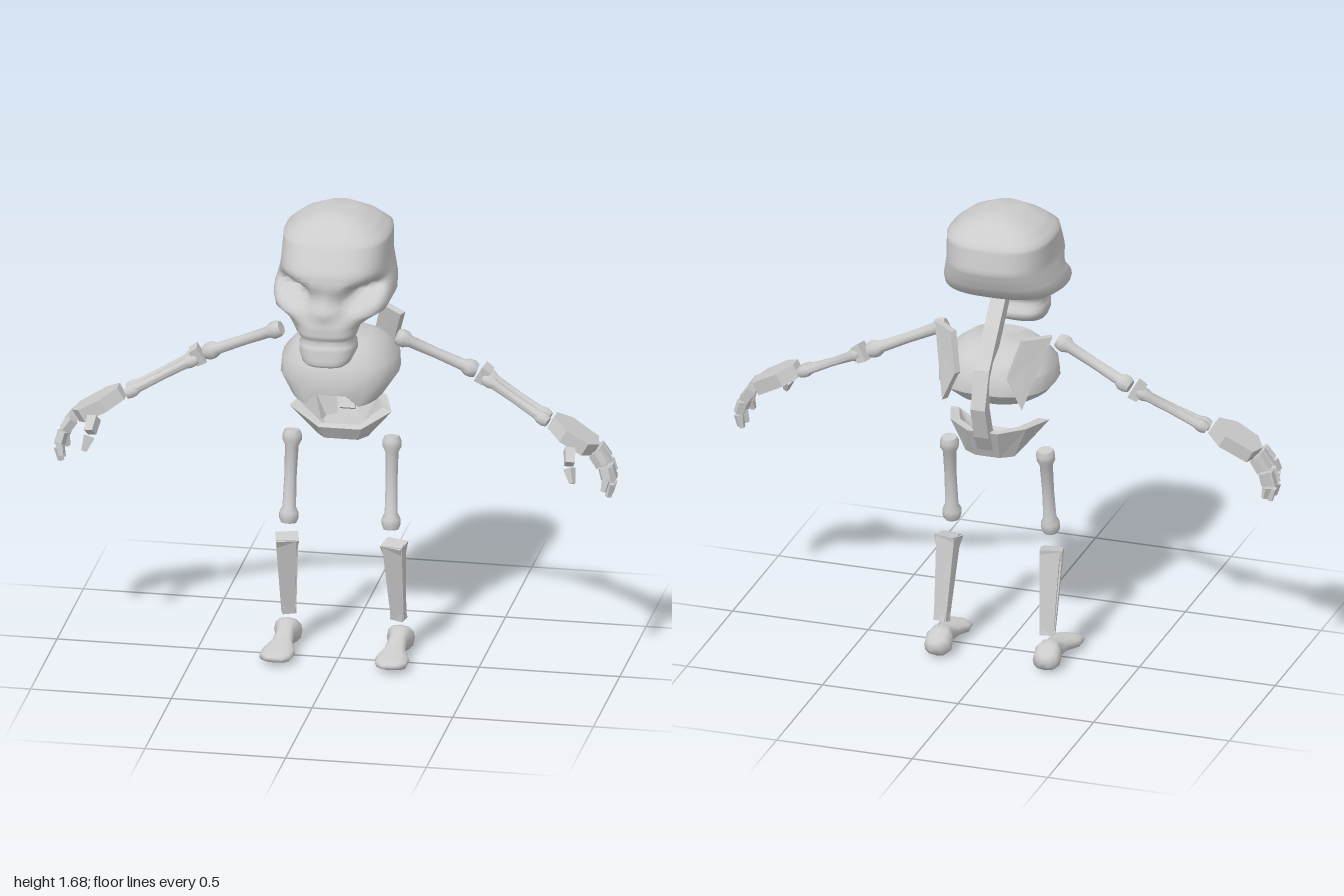
import * as THREE from 'three';
import { toCreasedNormals } from 'three/addons/utils/BufferGeometryUtils.js';

const smooth = new THREE.MeshStandardMaterial({ color: 0xcccccc });
const faceted = new THREE.MeshStandardMaterial({ color: 0xcccccc, flatShading: true });
const V = (x, y, z) => new THREE.Vector3(x, y, z);
const sgnPow = (v, p) => Math.sign(v) * Math.abs(v) ** p;

function named(name, geo, mat = smooth) {
  const m = new THREE.Mesh(geo, mat);
  m.name = name;
  return m;
}

// Closed skin over equal-length rings, capped at both ends
function loft(rings) {
  const n = rings[0].length, pos = [], idx = [];
  rings.flat().forEach(p => pos.push(p.x, p.y, p.z));
  for (let i = 0; i < rings.length - 1; i++) {
    for (let j = 0; j < n; j++) {
      const a = i * n + j, b = i * n + (j + 1) % n;
      idx.push(a, b, b + n, a, b + n, a + n);
    }
  }
  [0, rings.length - 1].forEach((r, end) => {
    const c = V(0, 0, 0);
    rings[r].forEach(p => c.addScaledVector(p, 1 / n));
    const ci = pos.length / 3;
    pos.push(c.x, c.y, c.z);
    for (let j = 0; j < n; j++) {
      const a = r * n + j, b = r * n + (j + 1) % n;
      if (end) idx.push(ci, a, b); else idx.push(ci, b, a);
    }
  });
  const g = new THREE.BufferGeometry();
  g.setAttribute('position', new THREE.Float32BufferAttribute(pos, 3));
  g.setIndex(idx);
  g.computeVertexNormals();
  return g;
}

// Horizontal rounded-square ring: height, half width, front z, back z
function ringY([y, w, f, b], n, p) {
  return Array.from({ length: n }, (_, j) => {
    const a = j / n * Math.PI * 2;
    return V(w * sgnPow(Math.sin(a), p), y, (f + b) / 2 + (f - b) / 2 * sgnPow(Math.cos(a), p));
  });
}

function place(mesh, a, b) {
  mesh.position.copy(a).add(b).multiplyScalar(0.5);
  mesh.quaternion.setFromUnitVectors(V(0, 1, 0), b.clone().sub(a).normalize());
  return mesh;
}

// Long bone with knobs at both ends
function bone(name, a, b, r, knob) {
  const L = a.distanceTo(b);
  const pts = [[0, 0], [knob * 0.8, 0], [knob, 0.05], [knob, 0.11], [r, 0.17], [r * 0.9, 0.5],
    [r, 0.83], [knob, 0.89], [knob, 0.95], [knob * 0.8, 1], [0, 1]]
    .map(([x, t]) => new THREE.Vector2(x, (t - 0.5) * L));
  return place(named(name, toCreasedNormals(new THREE.LatheGeometry(pts, 10), 0.9)), a, b);
}

// Four-sided tapered bar: half sizes (x, z) at a and b
function bar(name, a, b, [x0, z0], [x1, z1]) {
  const L = a.distanceTo(b) / 2;
  const ring = (x, y, z) => [V(-x, y, z), V(x, y, z), V(x, y, -z), V(-x, y, -z)];
  return place(named(name, loft([ring(x0, -L, z0), ring(x1, L, z1)]), faceted), a, b);
}

function skull() {
  const rows = [[1.19, 0.07, 0.285, 0.16], [1.2, 0.085, 0.29, 0.13], [1.23, 0.1, 0.285, 0.085],
    [1.26, 0.1, 0.28, 0.1], [1.275, 0.092, 0.262, 0.11], [1.29, 0.1, 0.28, 0.11],
    [1.33, 0.115, 0.278, 0.07], [1.35, 0.145, 0.27, 0.03], [1.375, 0.195, 0.26, -0.03],
    [1.405, 0.212, 0.255, -0.15], [1.44, 0.21, 0.255, -0.18], [1.48, 0.2, 0.258, -0.2],
    [1.52, 0.19, 0.25, -0.215], [1.61, 0.187, 0.19, -0.2], [1.65, 0.14, 0.14, -0.15], [1.685, 0.06, 0.085, -0.09]];
  const rings = [];
  rows.forEach((r, i) => {
    const next = rows[i + 1];
    const steps = next ? Math.ceil((next[0] - r[0]) / 0.018) : 1;
    for (let k = 0; k < steps; k++) {
      rings.push(ringY(r.map((v, c) => next ? v + (next[c] - v) * k / steps : v), 40, 0.74));
    }
  });
  rings.flat().forEach(p => {
    if (p.z < 0.06) return;
    // slanted eye sockets and a small nose
    const ax = Math.abs(p.x), ey = p.y - 1.442 - 0.25 * (ax - 0.12);
    const e = Math.exp(-(((ax - 0.13) / 0.06) ** 4) - (ey / 0.032) ** 2);
    const nose = Math.exp(-((p.x / 0.03) ** 2) - ((p.y - 1.385) / 0.03) ** 2);
    p.z += 0.03 * nose - 0.1 * e;
    p.x *= 1 - 0.12 * e;
  });
  return named('skull', loft(rings));
}

function ribcage() {
  const rows = [[1.05, 0.12, 0.09, -0.19], [0.97, 0.13, 0.125, -0.2], [0.99, 0.165, 0.15, -0.22],
    [1.07, 0.207, 0.152, -0.245], [1.13, 0.203, 0.135, -0.24], [1.18, 0.16, 0.1, -0.2], [1.21, 0.115, 0.07, -0.14]];
  const rings = rows.map(r => ringY(r, 24, 0.8));
  // raised back edge and the arch under the breastbone
  rings.slice(1, 3).flat().forEach(p => {
    p.y += 0.06 * (0.15 - p.z) / 0.4;
    if (p.z > 0 && Math.abs(p.x) < 0.075) p.y = 1.03 + (p.z > 0.14 ? 0.005 : 0);
  });
  return named('ribcage', toCreasedNormals(loft(rings), 0.7));
}

function pelvis() {
  const sym = half => [...half.map(p => V(...p)), ...half.slice().reverse().map(([x, y, z]) => V(-x, y, z))];
  // each half ring runs front to back on the +x side
  const base = sym([[0.06, 0.8, -0.05], [0.09, 0.805, -0.08], [0.09, 0.81, -0.15], [0.045, 0.81, -0.18]]);
  const rim = sym([[0.075, 0.85, -0.02], [0.182, 0.918, -0.04], [0.14, 0.93, -0.17], [0.055, 0.925, -0.235]]);
  const inner = sym([[0.065, 0.862, -0.035], [0.145, 0.925, -0.055], [0.11, 0.93, -0.155], [0.045, 0.925, -0.21]]);
  const bowl = sym([[0.05, 0.85, -0.06], [0.075, 0.85, -0.08], [0.07, 0.85, -0.14], [0.035, 0.85, -0.17]]);
  return named('pelvis', loft([base, rim, inner, bowl]), faceted);
}

function spine() {
  const path = [[0.86, -0.185], [0.92, -0.225], [1.03, -0.263], [1.15, -0.22], [1.27, -0.115], [1.4, 0]];
  const rings = path.map(([y, z], i) => {
    const [y0, z0] = path[Math.max(i - 1, 0)], [y1, z1] = path[Math.min(i + 1, path.length - 1)];
    const l = Math.hypot(y1 - y0, z1 - z0), dy = -0.025 * (z1 - z0) / l, dz = 0.025 * (y1 - y0) / l;
    return [[-1, 1], [1, 1], [1, -1], [-1, -1]].map(([sx, s]) => V(sx * 0.027, y + s * dy, z + s * dz));
  });
  return named('spine', loft(rings), faceted);
}

function shoulderBlade() {
  const inner = [V(0.205, 1.265, -0.085), V(0.135, 1.03, -0.215), V(0.085, 1.14, -0.225), V(0.12, 1.27, -0.165)];
  const outer = inner.map(p => p.clone().add(V(0.012, 0.002, -0.025)));
  return named('shoulderBlade', loft([inner, outer]), faceted);
}

function hand() {
  const g = new THREE.Group();
  g.name = 'hand';
  // palm slab tilted along the arm
  const outline = [[0, 0], [0, 0.05], [0.06, 0.1], [0.15, 0.1], [0.185, 0.05], [0.17, -0.015], [0.06, -0.035]];
  const layer = h => outline.map(([u, v]) => V(0.765 + 0.86 * u + 0.5 * h, 0.952 - 0.5 * u + 0.86 * h, v));
  g.add(named('palm', loft([layer(-0.025), layer(0.025)]), faceted));
  // four curled fingers of three segments
  for (let i = 0; i < 4; i++) {
    const z0 = -0.005 + i * 0.032, z1 = -0.018 + i * 0.045, s = [0.85, 1, 0.98, 0.78][i];
    const pts = [[0.925, 0.865], [0.967, 0.805], [0.984, 0.745], [0.972, 0.69]]
      .map(([x, y], k) => V(0.925 + (x - 0.925) * s, 0.865 + (y - 0.865) * s, z0 + (z1 - z0) * k / 3));
    for (let k = 0; k < 3; k++) {
      const w = 0.016 - 0.002 * k, tip = k === 2 ? 0.008 : w;
      g.add(bar('fingerSegment', pts[k].clone().lerp(pts[k + 1], 0.06),
        pts[k].clone().lerp(pts[k + 1], 0.92), [w, w], [tip, tip]));
    }
  }
  // thumb
  g.add(bar('thumbSegment', V(0.845, 0.885, 0.125), V(0.852, 0.845, 0.165), [0.018, 0.02], [0.016, 0.018]));
  g.add(bar('thumbTip', V(0.853, 0.832, 0.172), V(0.868, 0.785, 0.195), [0.016, 0.016], [0.008, 0.008]));
  return g;
}

function foot() {
  // slices from heel to toe: z, centre x, half width, low y, high y
  const rows = [[-0.163, 0.2, 0.022, 0.02, 0.06], [-0.145, 0.2, 0.045, 0.006, 0.075], [-0.115, 0.2, 0.05, 0, 0.095],
    [-0.085, 0.2, 0.042, 0.005, 0.1], [-0.06, 0.2, 0.032, 0.015, 0.085], [0, 0.2, 0.038, 0.018, 0.062],
    [0.06, 0.203, 0.06, 0.008, 0.052], [0.105, 0.206, 0.056, 0.008, 0.045], [0.128, 0.206, 0.03, 0.016, 0.036]];
  return named('foot', loft(rows.map(([z, cx, w, lo, hi]) => Array.from({ length: 12 }, (_, j) => {
    const a = j / 12 * Math.PI * 2;
    return V(cx + w * sgnPow(Math.cos(a), 0.8), (lo + hi) / 2 + (hi - lo) / 2 * sgnPow(Math.sin(a), 0.8), z);
  }))));
}

// Everything that exists once per side
function limbs(name) {
  const g = new THREE.Group();
  g.name = name;
  g.add(shoulderBlade());
  g.add(bone('upperArm', V(0.205, 1.215, -0.012), V(0.482, 1.09, -0.048), 0.021, 0.031));
  // paired forearm bones joined at the elbow end
  g.add(bar('elbow', V(0.495, 1.088, -0.05), V(0.525, 1.07, -0.047), [0.033, 0.026], [0.03, 0.024]));
  g.add(bone('forearmUpper', V(0.51, 1.082, -0.058), V(0.75, 0.95, -0.005), 0.017, 0.023));
  g.add(bone('forearmLower', V(0.51, 1.07, -0.036), V(0.75, 0.945, 0.032), 0.017, 0.023));
  g.add(hand());
  g.add(bone('thigh', V(0.177, 0.815, -0.073), V(0.182, 0.485, -0.025), 0.024, 0.034));
  // paired shin bones with a gap between
  g.add(bar('shinFront', V(0.19, 0.425, -0.022), V(0.195, 0.125, -0.092), [0.036, 0.013], [0.024, 0.008]));
  g.add(bar('shinBack', V(0.19, 0.425, -0.06), V(0.195, 0.125, -0.11), [0.036, 0.012], [0.024, 0.008]));
  g.add(bar('shinHead', V(0.19, 0.425, -0.04), V(0.191, 0.385, -0.048), [0.04, 0.034], [0.034, 0.022]));
  g.add(bar('ankle', V(0.194, 0.15, -0.096), V(0.195, 0.123, -0.102), [0.024, 0.016], [0.025, 0.018]));
  g.add(foot());
  return g;
}

export function createModel() {
  const model = new THREE.Group();
  model.name = 'skeleton';
  const right = limbs('rightSide');
  right.scale.x = -1;
  model.add(skull(), spine(), ribcage(), pelvis(), limbs('leftSide'), right);
  return model;
}
